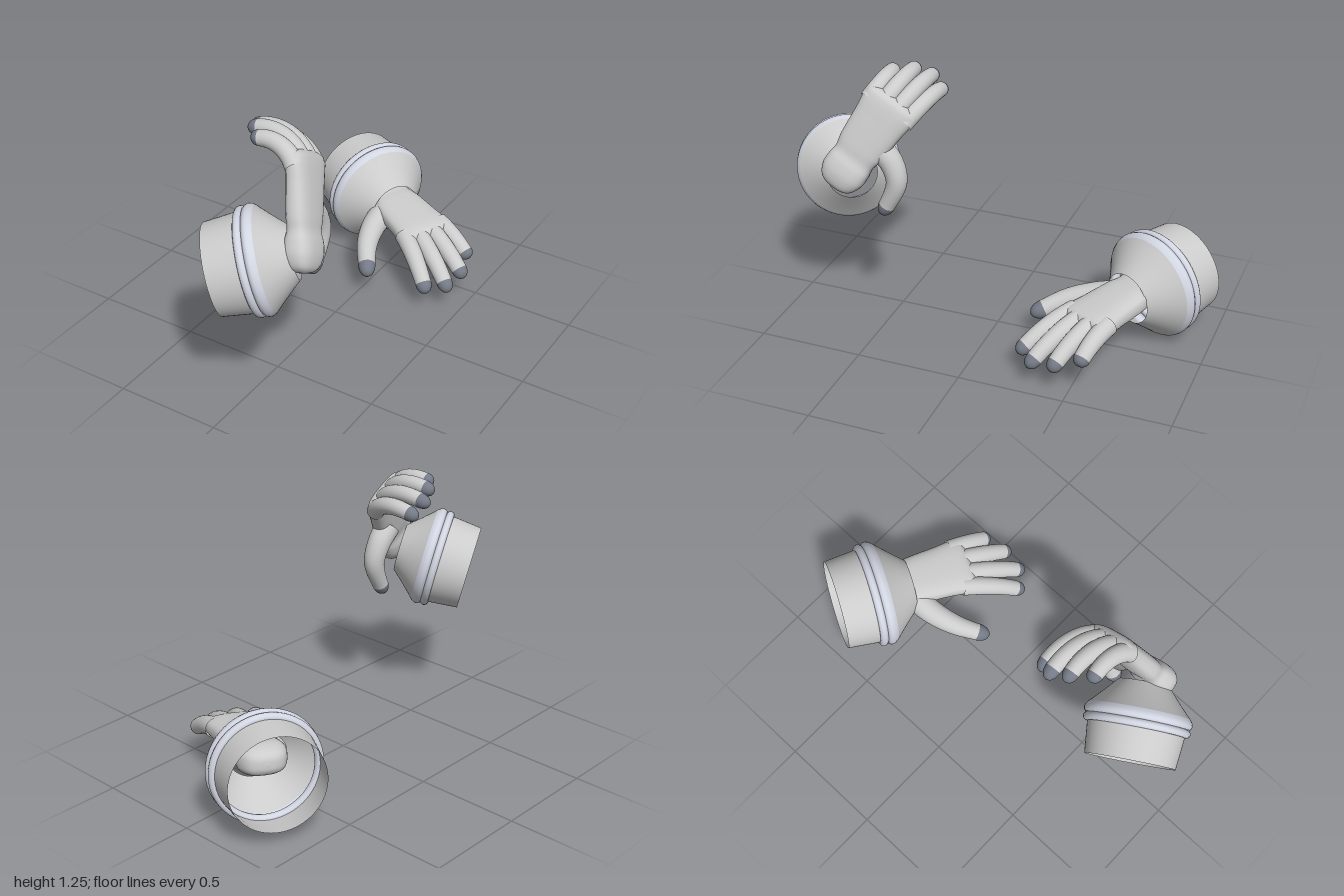
import * as THREE from 'three';

const grey = new THREE.MeshStandardMaterial({ color: 0xcccccc, side: THREE.DoubleSide });
const tipMat = new THREE.MeshStandardMaterial({ color: 0x747a86 });
const ringMat = new THREE.MeshStandardMaterial({ color: 0xd2d6e2, side: THREE.DoubleSide });
const V = (x, y, z) => new THREE.Vector3(x, y, z);

function mesh(name, geometry, material) {
  const m = new THREE.Mesh(geometry, material);
  m.name = name;
  return m;
}

// Sweeps a (rounded-square to round) section along a curve between s0 and s1.
// profile rows: [position along curve, half width along side, half height]
function sweep(curve, side, profile, power = 1, s0 = 0, s1 = 1) {
  const seg = 28, pos = [], index = [];
  const shape = new THREE.CatmullRomCurve3(profile.map((p) => V(...p)), false, 'centripetal');
  const rows = shape.getPoints(80).filter((p) => p.x >= s0 - 1e-6 && p.x <= s1 + 1e-6);
  const bend = (v) => Math.sign(v) * Math.pow(Math.abs(v), power);
  rows.forEach((p, i) => {
    const s = THREE.MathUtils.clamp(p.x, 0, 1);
    const c = curve.getPointAt(s), t = curve.getTangentAt(s);
    const a = side.clone().addScaledVector(t, -side.dot(t)).normalize();
    const b = t.clone().cross(a);
    for (let j = 0; j < seg; j++) {
      const q = (j / seg) * Math.PI * 2;
      const v = c.clone()
        .addScaledVector(a, bend(Math.cos(q)) * Math.max(p.y, 0.0005))
        .addScaledVector(b, bend(Math.sin(q)) * Math.max(p.z, 0.0005));
      pos.push(v.x, v.y, v.z);
      if (i < rows.length - 1) {
        const k = i * seg + j, l = i * seg + ((j + 1) % seg);
        index.push(k, l, k + seg, l, l + seg, k + seg);
      }
    }
  });
  const g = new THREE.BufferGeometry();
  g.setAttribute('position', new THREE.Float32BufferAttribute(pos, 3));
  g.setIndex(index);
  g.computeVertexNormals();
  return g;
}

// A tapered round digit with a dark end
function digit(name, curve, side, r0, r1) {
  const g = new THREE.Group();
  g.name = name;
  const row = (s, r) => [s, r, r];
  const profile = [row(0, r0), row(0.45, (r0 + r1) / 2), row(0.8, r1), row(0.88, r1 * 0.96),
    row(0.94, r1 * 0.78), row(0.98, r1 * 0.46), row(1, 0)];
  g.add(mesh(name + 'Shaft', sweep(curve, side, profile, 1, 0, 0.85), grey));
  g.add(mesh(name + 'Tip', sweep(curve, side, profile, 1, 0.81, 1), tipMat));
  return g;
}

// Hand in local axes: x to the fingers, y out of the back, z to the thumb; origin at the knuckles
function hand(name, { bend, spread, reach, thumbPath }) {
  const g = new THREE.Group();
  g.name = name;

  // palm with rounded wrist knob
  const length = 0.555;
  const palm = [[-0.5, 0, 0], [-0.495, 0.045, 0.03], [-0.475, 0.083, 0.054], [-0.42, 0.112, 0.072],
    [-0.36, 0.114, 0.07], [-0.31, 0.108, 0.057], [-0.25, 0.12, 0.058], [-0.1, 0.132, 0.055],
    [0, 0.141, 0.05], [0.03, 0.13, 0.042], [0.048, 0.09, 0.024], [0.055, 0, 0]]
    .map(([f, w, h]) => [(f + 0.5) / length, w, h]);
  const line = new THREE.LineCurve3(V(-0.5, 0, 0), V(0.055, 0, 0));
  g.add(mesh('palm', sweep(line, V(0, 0, 1), palm, 0.72), grey));

  // fingers: [name, start x, start z, length, sideways fan]
  const fingers = [['littleFinger', -0.03, -0.102, 0.25, -0.12], ['ringFinger', -0.01, -0.035, 0.32, -0.02],
    ['middleFinger', -0.01, 0.037, 0.36, 0.1], ['indexFinger', -0.025, 0.103, 0.34, 0.22]];
  for (const [label, x, z, len, fan] of fingers) {
    const p = V(x, 0, z), points = [p.clone()], n = 8;
    for (let i = 0; i < n; i++) {
      const a = THREE.MathUtils.degToRad(bend[0] + (bend[1] - bend[0]) * (i + 0.5) / n);
      const d = V(Math.cos(a), -Math.sin(a), fan * spread).normalize();
      points.push(p.addScaledVector(d, len * reach / n).clone());
    }
    g.add(digit(label, new THREE.CatmullRomCurve3(points), V(0, 0, 1), 0.047, 0.039));
  }

  const thumb = new THREE.CatmullRomCurve3(thumbPath.map((p) => V(...p)));
  g.add(digit('thumb', thumb, V(0, 1, 0), 0.066, 0.043));
  return g;
}

// Open cuff along +y: sleeve, slim ridge, then a rounded rim running into a tapering neck
function cuff(name) {
  const g = new THREE.Group();
  g.name = name;
  const lathe = (pts) => new THREE.LatheGeometry(pts.map((p) => new THREE.Vector2(...p)), 64);
  const sleeve = [[0.22, 0], [0.228, 0.08], [0.236, 0.16], [0.238, 0.195]];
  const rim = [[0.238, 0.192], [0.252, 0.196], [0.26, 0.207], [0.262, 0.218], [0.258, 0.232], [0.248, 0.246]];
  const neck = [[0.248, 0.246], [0.23, 0.264], [0.199, 0.297], [0.165, 0.334], [0.125, 0.38]];
  g.add(mesh('sleeve', lathe(sleeve), grey), mesh('rim', lathe(rim), ringMat), mesh('neck', lathe(neck), grey));
  const ridge = mesh('ridge', new THREE.TorusGeometry(0.238, 0.021, 14, 64), ringMat);
  ridge.rotation.x = Math.PI / 2;
  ridge.position.y = 0.176;
  g.add(ridge);
  return g;
}

function placeCuff(g, origin, axis, scale) {
  g.position.copy(origin);
  g.quaternion.setFromUnitVectors(V(0, 1, 0), axis.normalize());
  g.scale.setScalar(scale);
  return g;
}

function placeHand(g, knuckles, forward, thumbSide, scale) {
  forward.normalize();
  const t = thumbSide.addScaledVector(forward, -thumbSide.dot(forward)).normalize();
  g.quaternion.setFromRotationMatrix(new THREE.Matrix4().makeBasis(forward, t.clone().cross(forward), t));
  g.position.copy(knuckles);
  g.scale.setScalar(scale);
  return g;
}

export function createModel() {
  const model = new THREE.Group();
  model.name = 'cuffedHands';

  // outstretched hand at the back
  const open = {
    bend: [4, 36], spread: 1, reach: 1,
    thumbPath: [[-0.27, -0.025, 0.06], [-0.215, -0.04, 0.16], [-0.12, -0.06, 0.26], [0.035, -0.105, 0.355]],
  };
  model.add(placeCuff(cuff('backCuff'), V(-0.375, 0.28, -0.805), V(0.88, -0.08, 0.47), 1));
  model.add(placeHand(hand('backHand', open), V(0.2, 0.25, -0.51), V(0.89, -0.09, 0.45), V(-0.45, -0.05, 0.89), 1));

  // raised hand with curled fingers at the front
  const curled = {
    bend: [20, 98], spread: 0.35, reach: 1.1,
    thumbPath: [[-0.2, -0.02, 0.06], [-0.23, -0.03, 0.16], [-0.3, -0.045, 0.235], [-0.5, -0.1, 0.265]],
  };
  model.add(placeCuff(cuff('frontCuff'), V(-0.09, 0.7, 0.82), V(0.825, 0.24, -0.51), 0.93));
  model.add(placeHand(hand('frontHand', curled), V(0.145, 1.12, 0.465), V(-0.29, 0.82, -0.5), V(0, -0.53, -0.85), 0.93));

  return model;
}
